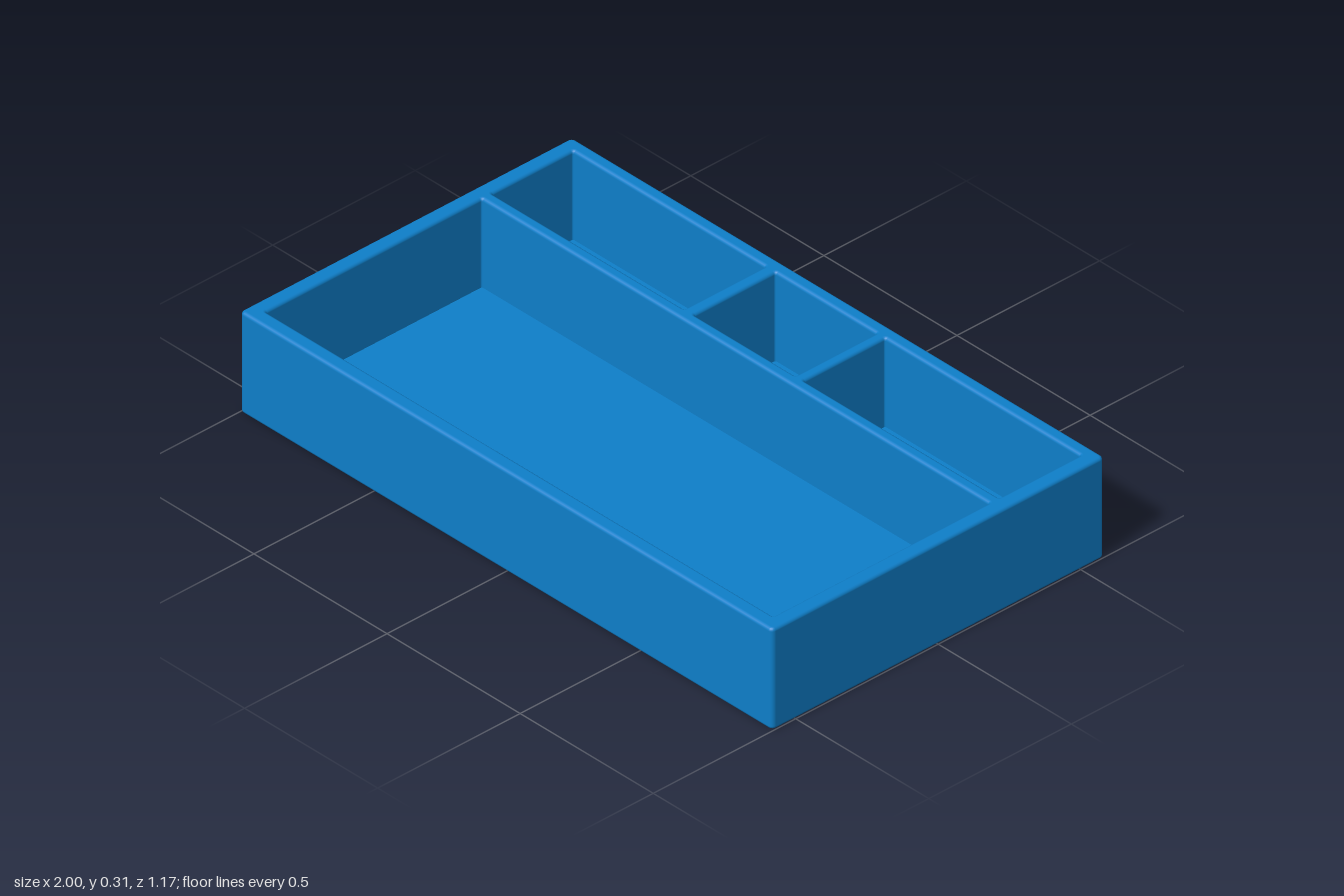
import * as THREE from 'three';

const HEIGHT = 0.313, FLOOR = 0.037, FILLET = 0.01, STEPS = 4;

// Outer block and the four compartments, as rounded rectangles in x and z.
const OUTER = { x0: -1, x1: 1, z0: -0.583, z1: 0.583, r: 0.014 };
const POCKETS = {
  mainCompartment: { x0: -0.953, x1: 0.953, z0: -0.223, z1: 0.535, r: 0.005 },
  rightCompartment: { x0: -0.953, x1: -0.23, z0: -0.543, z1: -0.258, r: 0.005 },
  middleCompartment: { x0: -0.193, x1: 0.188, z0: -0.543, z1: -0.258, r: 0.005 },
  leftCompartment: { x0: 0.219, x1: 0.953, z0: -0.543, z1: -0.258, r: 0.005 },
};

// Rounded rectangle grown by `grow`; each point carries its outward direction.
function outline({ x0, x1, z0, z1, r }, grow) {
  const centres = [[x1 - r, z1 - r], [x0 + r, z1 - r], [x0 + r, z0 + r], [x1 - r, z0 + r]];
  const points = [];
  centres.forEach(([cx, cz], corner) => {
    for (let i = 0; i <= STEPS; i++) {
      const a = (corner + i / STEPS) * Math.PI / 2;
      const dx = Math.cos(a), dz = Math.sin(a);
      points.push({ x: cx + dx * (r + grow), z: cz + dz * (r + grow), dx, dz });
    }
  });
  return points;
}

// Skin swept around a rectangle from profile steps [grow, y, normalOut, normalUp].
function skin(rect, profile) {
  const pos = [], nor = [], idx = [];
  const n = outline(rect, 0).length;
  profile.forEach(([grow, y, out, up], k) => {
    outline(rect, grow).forEach((p, i) => {
      pos.push(p.x, y, p.z);
      nor.push(p.dx * out, up, p.dz * out);
      if (k === 0) return;
      const b = k * n + i, b2 = k * n + (i + 1) % n;
      const a = b - n, a2 = b2 - n;
      idx.push(a, b, a2, a2, b, b2);
    });
  });
  const g = new THREE.BufferGeometry();
  g.setAttribute('position', new THREE.Float32BufferAttribute(pos, 3));
  g.setAttribute('normal', new THREE.Float32BufferAttribute(nor, 3));
  g.setIndex(idx);
  return g;
}

// Horizontal face, optionally with holes, facing up or down.
function flat(points, holes, y, up = true) {
  const s = up ? -1 : 1;
  const to2D = (list) => list.map((p) => new THREE.Vector2(p.x, s * p.z));
  const shape = new THREE.Shape(to2D(points));
  shape.holes = holes.map((h) => new THREE.Path(to2D(h)));
  return new THREE.ShapeGeometry(shape).rotateX(s * Math.PI / 2).translate(0, y, 0);
}

export function createModel() {
  const material = new THREE.MeshStandardMaterial({ color: 0x0e7fca });
  const model = new THREE.Group();
  model.name = 'compartmentTray';
  const add = (parent, name, geometry) => {
    const mesh = new THREE.Mesh(geometry, material);
    mesh.name = name;
    parent.add(mesh);
  };

  // Outer walls with rounded bottom and top edges
  const outer = [], inner = [];
  for (let i = 0; i <= STEPS; i++) {
    const a = (i / STEPS) * Math.PI / 2, c = Math.cos(a), s = Math.sin(a);
    outer.push([FILLET * (s - 1), FILLET * (1 - c), s, -c]);
    inner.push([FILLET * (1 - s), HEIGHT - FILLET * (1 - c), -s, c]);
  }
  for (let i = 0; i <= STEPS; i++) {
    const a = (i / STEPS) * Math.PI / 2, c = Math.cos(a), s = Math.sin(a);
    outer.push([FILLET * (c - 1), HEIGHT - FILLET * (1 - s), c, s]);
  }
  inner.push([0, FLOOR, -1, 0]);
  add(model, 'outerWalls', skin(OUTER, outer));
  add(model, 'base', flat(outline(OUTER, -FILLET), [], 0, false));

  // Top faces of the walls and dividers
  const rects = Object.values(POCKETS);
  add(model, 'rim', flat(outline(OUTER, -FILLET), rects.map((p) => outline(p, FILLET)), HEIGHT));

  // Compartments: rounded lip, inside walls and floor
  for (const [name, rect] of Object.entries(POCKETS)) {
    const pocket = new THREE.Group();
    pocket.name = name;
    add(pocket, 'insideWalls', skin(rect, inner));
    add(pocket, 'floor', flat(outline(rect, 0), [], FLOOR));
    model.add(pocket);
  }
  return model;
}
